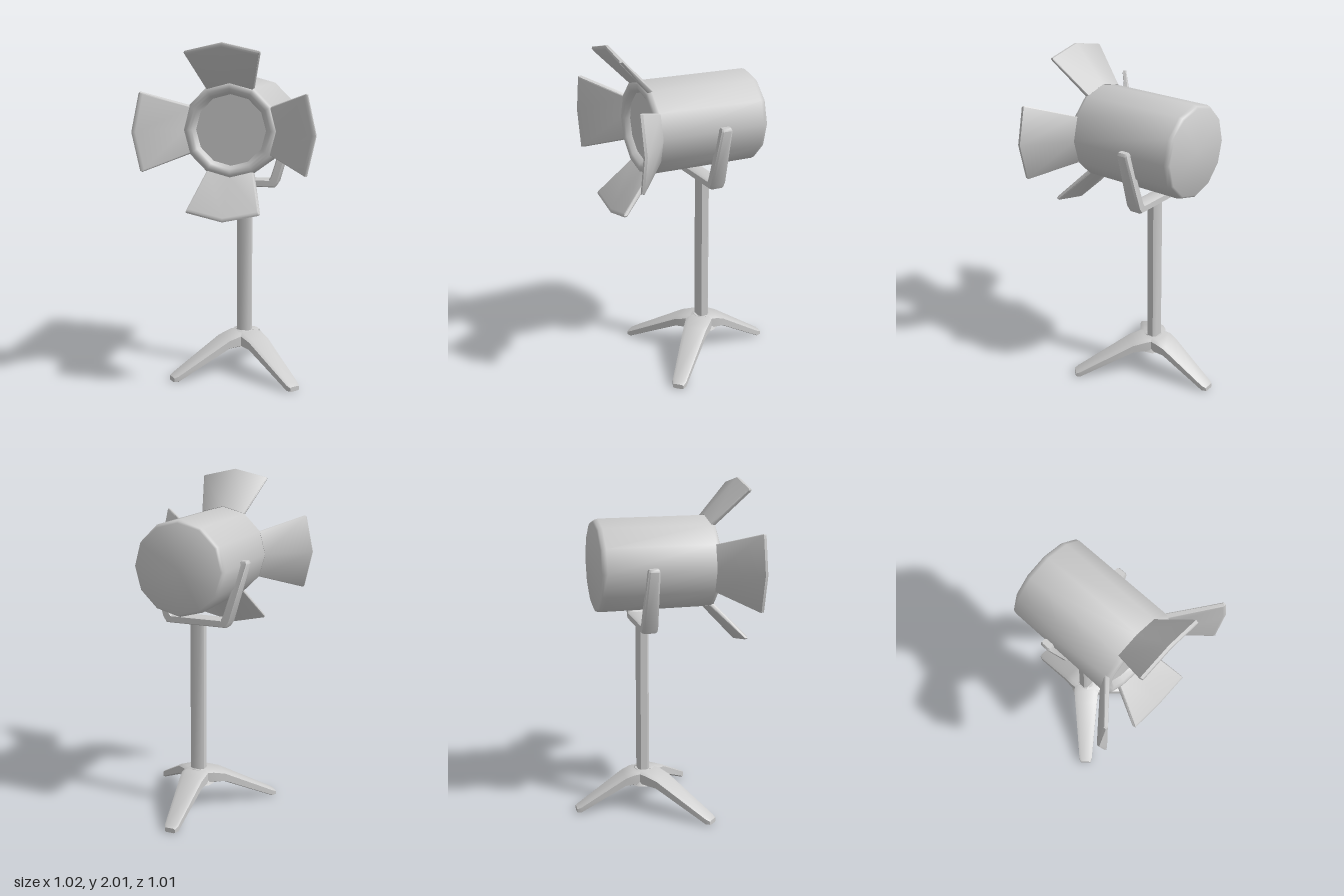
import * as THREE from 'three';
import { toCreasedNormals } from 'three/addons/utils/BufferGeometryUtils.js';

const material = new THREE.MeshStandardMaterial({ color: 0xcccccc });

function part(name, geometry, crease = 0.8) {
  const mesh = new THREE.Mesh(toCreasedNormals(geometry, crease), material);
  mesh.name = name;
  return mesh;
}

// Skin a row of equal-sized rings of [x, y, z] points and cap both ends
function loft(rings) {
  const n = rings[0].length, last = (rings.length - 1) * n, index = [];
  for (let i = 0; i < rings.length - 1; i++) {
    for (let j = 0; j < n; j++) {
      const a = i * n + j, b = i * n + (j + 1) % n;
      index.push(a, b, b + n, a, b + n, a + n);
    }
  }
  for (let j = 1; j < n - 1; j++) {
    index.push(0, j + 1, j, last, last + j, last + j + 1);
  }
  const geometry = new THREE.BufferGeometry();
  geometry.setAttribute('position', new THREE.Float32BufferAttribute(rings.flat(2), 3));
  geometry.setIndex(index);
  return geometry;
}

// Unit square with cut corners, counterclockwise
const bevelSquare = (c) => [
  [1, -c], [1, c], [c, 1], [-c, 1], [-1, c], [-1, -c], [-c, -1], [c, -1],
];

// Tapering leg running out along +z, bent near the hub
function legGeometry(length) {
  const stations = [ // distance, top, bottom, half width
    [0, 0.25, 0.16, 0.075],
    [0.07, 0.245, 0.16, 0.08],
    [length * 0.29, 0.222, 0.155, 0.072],
    [length - 0.025, 0.045, 0.0, 0.042],
    [length, 0.03, 0.002, 0.032],
  ];
  return loft(stations.map(([s, top, bottom, w]) => bevelSquare(0.7).map(([u, v]) => [
    u * w, (top + bottom) / 2 + v * (top - bottom) / 2, s,
  ])));
}

// Flap: a slice of a flaring cone, bent along its middle
function flapGeometry(tip) {
  const profile = [ // z, radius
    [0.312, 0.256], [0.5, tip - 0.025], [0.506, tip - 0.012],
    [0.503, tip - 0.002], [0.488, tip], [0.29, 0.275],
  ];
  const sections = [[-1, 0.006], [-0.97, 0], [0, 0], [0.97, 0], [1, 0.006]];
  return loft(sections.map(([k, pinch]) => profile.map(([z, r], i) => {
    const t = (z - 0.29) / 0.215;
    const angle = k * THREE.MathUtils.degToRad(30.5 - 5 * t);
    const radius = r + (i < 3 ? pinch : -pinch);
    return [radius * Math.cos(angle), radius * Math.sin(angle), z];
  })));
}

export function createModel() {
  const model = new THREE.Group();
  model.name = 'stageLamp';
  const standZ = -0.084;

  // Lamp head: twelve-sided drum with beveled back, front rim and sunken lens
  const head = new THREE.Group();
  head.name = 'lampHead';
  head.position.y = 1.523;
  const drum = [
    [0, -0.37], [0.255, -0.37], [0.266, -0.362], [0.273, -0.34], [0.273, 0.295],
    [0.265, 0.316], [0.25, 0.323], [0.232, 0.323], [0.216, 0.315], [0.2, 0.285],
  ].map(([r, z]) => new THREE.Vector2(r, z));
  head.add(part('lampHousing', new THREE.LatheGeometry(drum, 12).rotateX(Math.PI / 2), 0.9));
  const lens = part('lens', new THREE.CircleGeometry(0.201, 12));
  lens.position.z = 0.286;
  head.add(lens);

  // Four flaps around the opening
  for (let i = 0; i < 4; i++) {
    const flap = part('flap', flapGeometry(i % 2 ? 0.485 : 0.511));
    flap.rotation.z = i * Math.PI / 2;
    head.add(flap);
  }
  model.add(head);

  // U-shaped yoke holding the drum by its sides
  const arm = [ // outer x, y, inner x, y, half depth
    [0.304, 1.546, 0.272, 1.546, 0.028],
    [0.313, 1.53, 0.264, 1.53, 0.034],
    [0.212, 1.185, 0.165, 1.215, 0.046],
    [0.19, 1.152, 0.155, 1.2, 0.047],
  ];
  const mirrored = arm.map(([ox, oy, ix, iy, d]) => [-ox, oy, -ix, iy, d]).reverse();
  const yoke = loft([...arm, ...mirrored].map(([ox, oy, ix, iy, d]) =>
    bevelSquare(0.7).map(([u, v]) => [
      (ox + ix) / 2 + u * (ox - ix) / 2, (oy + iy) / 2 + u * (oy - iy) / 2, standZ + v * d,
    ])));
  model.add(part('yoke', yoke));

  // Post with softened rectangular section
  const post = loft([0.2, 1.17].map((y) => bevelSquare(0.6).map(([u, v]) =>
    [v * 0.043, y, standZ + u * 0.034])));
  model.add(part('post', post));

  // Three-legged base
  const base = new THREE.Group();
  base.name = 'base';
  base.position.z = standZ;
  const hub = part('hub', new THREE.CylinderGeometry(0.05, 0.1, 0.088, 12));
  hub.position.y = 0.205;
  base.add(hub);
  const legs = [['rearLeg', Math.PI, 0.42], ['frontLeg', 0.83, 0.505], ['frontLeg', -0.83, 0.505]];
  for (const [name, turn, length] of legs) {
    const leg = part(name, legGeometry(length));
    leg.rotation.y = turn;
    base.add(leg);
  }
  model.add(base);

  model.position.x = -0.004;
  return model;
}
